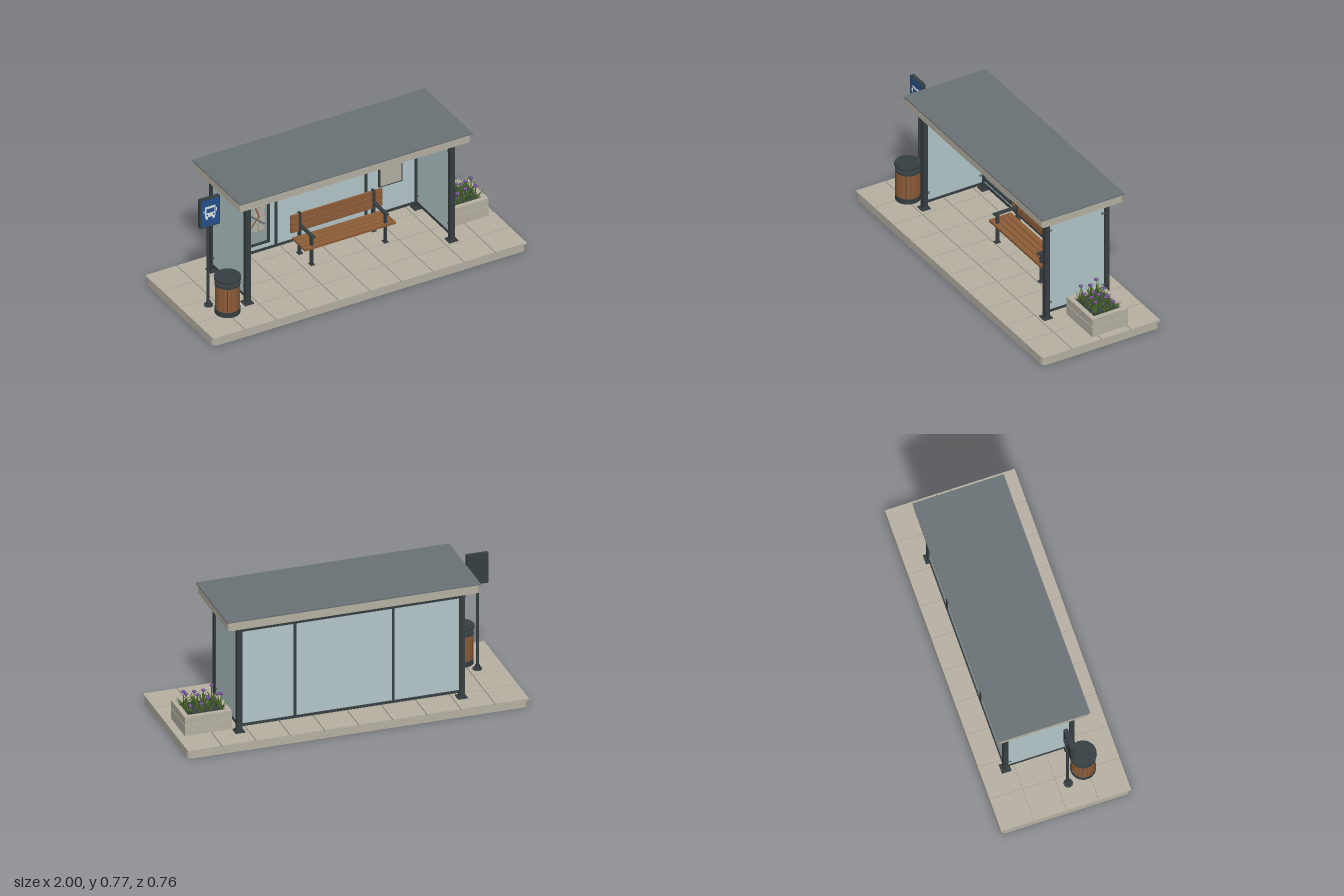
import * as THREE from 'three';
import { mergeGeometries } from 'three/addons/utils/BufferGeometryUtils.js';

const mat = (name, color) => Object.assign(new THREE.MeshStandardMaterial({ color }), { name });

export function createModel() {
  const model = new THREE.Group();
  model.name = 'busShelter';
  const concrete = mat('concrete', 0xb8b2a4), metal = mat('darkMetal', 0x373f42);
  const slate = mat('slateGrey', 0x6a7376), glass = mat('glass', 0xb4c8cb);
  const wood = mat('wood', 0x8f5e38), blue = mat('signBlue', 0x25518c);
  const green = mat('leafGreen', 0x4d6b2b), purple = mat('petalPurple', 0x6d4b90);
  const white = mat('signWhite', 0xe2e8ea), board = mat('boardGrey', 0x92a1a3);

  let parent = model;
  const group = (name) => {
    parent = new THREE.Group();
    parent.name = name;
    model.add(parent);
    return parent;
  };
  const add = (name, geo, material, x = 0, y = 0, z = 0) => {
    const m = new THREE.Mesh(geo, material);
    m.name = name;
    m.position.set(x, y, z);
    parent.add(m);
    return m;
  };
  // Box given by its minimum and maximum on each axis
  const box = (name, material, x0, x1, y0, y1, z0, z1) =>
    add(name, new THREE.BoxGeometry(x1 - x0, y1 - y0, z1 - z0), material, (x0 + x1) / 2, (y0 + y1) / 2, (z0 + z1) / 2);
  const cyl = (name, material, r, y0, y1, x, z, sides = 24, rTop = r) =>
    add(name, new THREE.CylinderGeometry(rTop, r, y1 - y0, sides), material, x, (y0 + y1) / 2, z);
  // Upright slab with rounded corners in plan
  const slab = (name, material, w, d, r, y0, y1, z) => {
    const s = new THREE.Shape(), a = w / 2 - r, b = d / 2 - r;
    s.absarc(a, b, r, 0, Math.PI / 2);
    s.absarc(-a, b, r, Math.PI / 2, Math.PI);
    s.absarc(-a, -b, r, Math.PI, Math.PI * 1.5);
    s.absarc(a, -b, r, Math.PI * 1.5, Math.PI * 2);
    const g = new THREE.ExtrudeGeometry(s, { depth: y1 - y0, bevelEnabled: false, curveSegments: 5 });
    return add(name, g.rotateX(-Math.PI / 2), material, 0, y0, z);
  };
  // Four bars around a rectangular opening
  const frame = (name, x0, x1, y0, y1, z0, z1, t) => {
    for (const [a, b] of [[x0, x0 + t], [x1 - t, x1]]) box(name, metal, a, b, y0, y1, z0, z1);
    for (const [a, b] of [[y0, y0 + t], [y1 - t, y1]]) box(name, metal, x0 + t, x1 - t, a, b, z0, z1);
  };

  // Pavement: slab with a grid of paving tiles
  group('pavement');
  slab('baseSlab', concrete, 2, 0.76, 0.03, 0, 0.041, 0);
  for (let i = 0; i < 10; i++) for (let j = 0; j < 4; j++) {
    const x = -1 + i * 0.2, z = -0.38 + j * 0.19, g = 0.0025;
    box('pavingTile', concrete, x + (i ? g : 0), x + 0.2 - (i < 9 ? g : 0), 0.0405, 0.051,
      z + (j ? g : 0), z + 0.19 - (j < 3 ? g : 0));
  }

  // Roof: cap, fascia, soffit panels and lamps
  group('roof');
  box('roofCap', slate, -0.743, 0.743, 0.76, 0.767, -0.306, 0.228);
  slab('fascia', concrete, 1.474, 0.525, 0.015, 0.711, 0.76, -0.04);
  for (let i = 0; i < 7; i++)
    box('soffitPanel', concrete, -0.715 + i * 0.2043, -0.715 + i * 0.2043 + 0.2, 0.703, 0.711, -0.289, 0.21);
  for (const x of [-0.47, 0, 0.47]) cyl('ceilingLamp', white, 0.025, 0.696, 0.703, x, -0.04, 20, 0.035);

  // Shelter frame: posts, feet, side beams, rails and glazing
  group('shelterFrame');
  for (const s of [-1, 1]) {
    const x = s * 0.652;
    for (const z of [0.148, -0.239]) {
      box('post', metal, x - 0.015, x + 0.015, 0.05, 0.672, z - 0.0145, z + 0.0145);
      box('postFoot', metal, x - 0.028, x + 0.028, 0.05, 0.057, z - 0.028, z + 0.028);
      box('postCollar', metal, x - 0.021, x + 0.021, 0.057, 0.063, z - 0.021, z + 0.021);
    }
    box('sideBeam', metal, x - 0.018, x + 0.018, 0.672, 0.703, -0.26, 0.169);
    box('sideBottomRail', metal, x - 0.008, x + 0.008, 0.085, 0.1, -0.225, 0.134);
    box('sideGlass', glass, x - 0.004, x + 0.004, 0.1, 0.665, -0.225, 0.134);
    for (const y of [0.148, 0.62]) for (const z of [0.125, -0.216])
      box('glassClamp', slate, x - 0.009, x + 0.009, y - 0.006, y + 0.006, z - 0.01, z + 0.01);
  }
  box('backGlass', glass, -0.637, 0.637, 0.097, 0.67, -0.243, -0.235);
  box('backTopRail', metal, -0.637, 0.637, 0.668, 0.684, -0.25, -0.228);
  box('backBottomRail', metal, -0.637, 0.637, 0.085, 0.099, -0.25, -0.228);
  for (const x of [-0.25, 0.325]) box('mullion', metal, x - 0.007, x + 0.007, 0.099, 0.668, -0.249, -0.229);

  // Street map case
  group('mapCase');
  frame('mapFrame', -0.6, -0.305, 0.145, 0.638, -0.235, -0.205, 0.012);
  box('mapBoard', board, -0.59, -0.315, 0.155, 0.63, -0.234, -0.216);
  box('mapHeader', metal, -0.582, -0.323, 0.555, 0.618, -0.216, -0.213);
  for (let i = 0; i < 6; i++) for (let j = 0; j < 6; j++) {
    const x = -0.57 + i * 0.04 + (j % 2) * 0.003, y = 0.235 + j * 0.046;
    box('mapBlock', concrete, x, x + 0.035, y, y + 0.041, -0.216, -0.214);
  }
  const route = (name, material, width, z, pts) => {
    for (let i = 1; i < pts.length; i++) {
      const [ax, ay] = pts[i - 1], [bx, by] = pts[i], dx = bx - ax, dy = by - ay;
      const m = add(name, new THREE.BoxGeometry(Math.hypot(dx, dy) + width * 0.4, width, 0.002), material,
        (ax + bx) / 2, (ay + by) / 2, z);
      m.rotation.z = Math.atan2(dy, dx);
    }
  };
  route('mapRiver', slate, 0.02, -0.2135, [[-0.475, 0.535], [-0.462, 0.46], [-0.49, 0.39], [-0.45, 0.33], [-0.465, 0.235]]);
  route('mapRoad', slate, 0.011, -0.213, [[-0.57, 0.45], [-0.52, 0.4], [-0.43, 0.35], [-0.335, 0.27]]);
  route('mapRoad', slate, 0.011, -0.213, [[-0.54, 0.25], [-0.46, 0.34], [-0.41, 0.42], [-0.37, 0.51]]);
  route('busRoute', wood, 0.008, -0.212, [[-0.56, 0.5], [-0.53, 0.42], [-0.535, 0.33], [-0.48, 0.25]]);
  route('busRoute', wood, 0.008, -0.212, [[-0.36, 0.49], [-0.395, 0.4], [-0.37, 0.33], [-0.44, 0.245]]);
  for (const y of [0.18, 0.2]) box('mapKey', metal, -0.57, -0.545, y, y + 0.004, -0.216, -0.214);

  // Timetable
  group('timetable');
  box('timetableCase', metal, 0.403, 0.551, 0.267, 0.602, -0.235, -0.222);
  box('timetableSheet', concrete, 0.411, 0.543, 0.275, 0.535, -0.222, -0.219);

  // Bench
  group('bench');
  for (let i = 0; i < 3; i++) box('backSlat', wood, -0.2, 0.38, 0.2 + i * 0.038, 0.234 + i * 0.038, -0.161, -0.147);
  for (let i = 0; i < 4; i++) box('seatSlat', wood, -0.2, 0.38, 0.163, 0.177, -0.14 + i * 0.037, -0.108 + i * 0.037);
  for (const x of [-0.145, 0.325]) {
    const a = x - 0.007, b = x + 0.007;
    box('backLeg', metal, a, b, 0.05, 0.32, -0.163, -0.142);
    box('frontLeg', metal, a, b, 0.05, 0.235, -0.028, -0.01);
    box('seatBearer', metal, a, b, 0.148, 0.163, -0.145, -0.01);
    box('armrest', metal, a - 0.003, b + 0.003, 0.235, 0.245, -0.145, 0.005);
    for (const z of [-0.152, -0.019]) box('benchFoot', metal, a - 0.006, b + 0.006, 0.05, 0.056, z - 0.016, z + 0.016);
  }

  // Litter bin with upright slats and a raised lid
  group('litterBin');
  const bx = -0.79, bz = 0.17;
  cyl('binBase', metal, 0.072, 0.05, 0.083, bx, bz, 32);
  cyl('binCore', metal, 0.062, 0.083, 0.24, bx, bz, 32);
  cyl('binRim', metal, 0.072, 0.236, 0.248, bx, bz, 32);
  for (let i = 0; i < 18; i++) {
    const a = (i / 18) * Math.PI * 2;
    const m = add('binSlat', new THREE.BoxGeometry(0.02, 0.153, 0.009), wood,
      bx + Math.sin(a) * 0.065, 0.1595, bz + Math.cos(a) * 0.065);
    m.rotation.y = a;
  }
  for (const s of [-1, 1]) cyl('lidStay', metal, 0.005, 0.245, 0.274, bx + s * 0.042, bz, 8);
  cyl('binLid', metal, 0.076, 0.272, 0.284, bx, bz, 32);

  // Stop sign on a pole, with a vehicle pictogram
  group('stopSign');
  const sx = -0.85;
  cyl('poleFoot', metal, 0.026, 0.05, 0.058, sx, 0.063);
  cyl('poleCollar', metal, 0.014, 0.058, 0.078, sx, 0.063);
  cyl('pole', metal, 0.0085, 0.058, 0.75, sx, 0.058, 14);
  for (const y of [0.61, 0.735]) cyl('signClamp', metal, 0.016, y - 0.008, y + 0.008, sx, 0.054);
  box('signPanel', metal, sx - 0.063, sx + 0.063, 0.577, 0.762, 0.056, 0.08);
  box('signFace', blue, sx - 0.056, sx + 0.056, 0.584, 0.755, 0.08, 0.082);
  const icon = (name, m, x0, x1, y0, y1, z = 0.082) => box(name, m, sx + x0, sx + x1, y0, y1, z, z + 0.0015);
  icon('vehicleBody', white, -0.033, 0.033, 0.643, 0.712);
  icon('vehicleWindow', blue, -0.026, 0.026, 0.672, 0.698, 0.0835);
  for (const s of [-1, 1]) {
    const at = (c, h) => [s * c - h, s * c + h];
    icon('vehicleWheel', white, ...at(0.022, 0.007), 0.629, 0.643);
    icon('vehicleMirror', white, ...at(0.039, 0.003), 0.672, 0.692);
    icon('vehicleLamp', blue, ...at(0.021, 0.005), 0.652, 0.661, 0.0835);
  }

  // Planter: two courses of walls, soil and flowers
  group('planter');
  const [px0, px1, pz0, pz1, t] = [0.68, 0.955, -0.2, 0.033, 0.028];
  for (const [y0, y1, n] of [[0.05, 0.113, 0], [0.113, 0.117, 0.004], [0.117, 0.165, 0]]) {
    for (const [a, b] of [[px0 + n, px0 + t], [px1 - t, px1 - n]]) box('planterWall', concrete, a, b, y0, y1, pz0 + n, pz1 - n);
    for (const [a, b] of [[pz0 + n, pz0 + t], [pz1 - t, pz1 - n]]) box('planterWall', concrete, px0 + t, px1 - t, y0, y1, a, b);
  }
  box('soil', metal, px0 + t, px1 - t, 0.055, 0.15, pz0 + t, pz1 - t);

  let seed = 7;
  const rnd = () => (seed = (seed * 16807) % 2147483647) / 2147483647;
  const leaves = [], petals = [];
  for (let i = 0; i < 4; i++) for (let j = 0; j < 3; j++) {
    const x = 0.731 + i * 0.057 + (rnd() - 0.5) * 0.02, z = -0.143 + j * 0.058 + (rnd() - 0.5) * 0.02;
    for (let k = 0; k < 10; k++) {
      const len = 0.05 + rnd() * 0.035;
      leaves.push(new THREE.ConeGeometry(0.008, len, 4).translate(0, len / 2, 0).scale(1, 1, 0.35)
        .rotateX(0.25 + rnd() * 0.55).rotateY(k * 0.63 + rnd()).translate(x, 0.148, z));
    }
    // Flower stalk and head
    const h = 0.05 + rnd() * 0.055;
    leaves.push(new THREE.CylinderGeometry(0.0025, 0.0035, h, 5).translate(x, 0.148 + h / 2, z));
    petals.push(new THREE.SphereGeometry(0.0125, 9, 6).scale(1, 0.65, 1).translate(x, 0.15 + h, z));
  }
  add('foliage', mergeGeometries(leaves), green);
  add('flowerHeads', mergeGeometries(petals), purple);

  return model;
}
